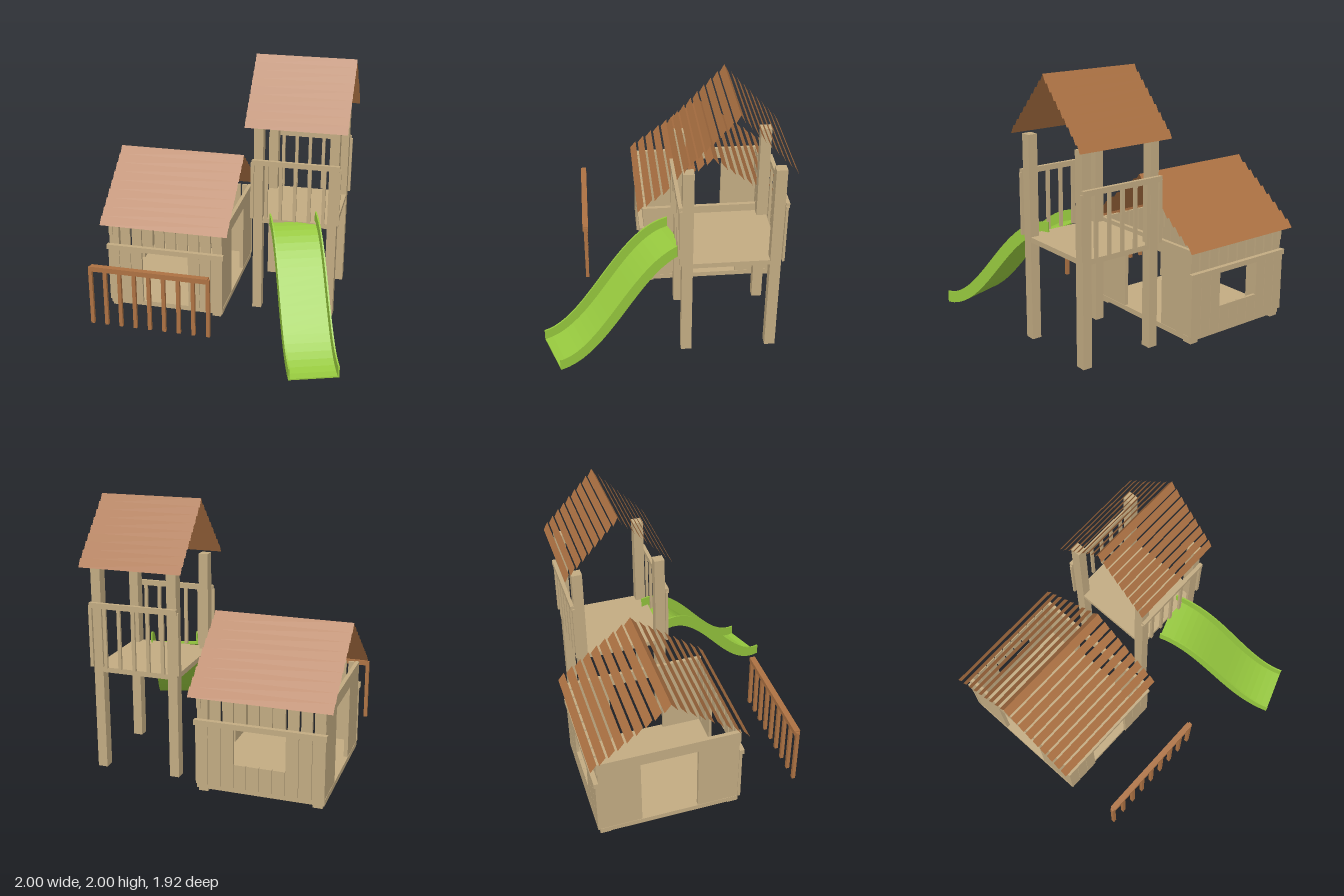
import * as THREE from 'three';

const tan = new THREE.MeshStandardMaterial({ color: 0xc2ab82 });
tan.name = 'pale timber';
const brown = new THREE.MeshStandardMaterial({ color: 0xad7243, side: THREE.DoubleSide });
brown.name = 'brown timber';
const green = new THREE.MeshStandardMaterial({ color: 0x96c83e });
green.name = 'green plastic';

// Box given by its min and max along each axis
function box(parent, name, mat, x0, x1, y0, y1, z0, z1) {
  const m = new THREE.Mesh(new THREE.BoxGeometry(Math.abs(x1 - x0), y1 - y0, Math.abs(z1 - z0)), mat);
  m.position.set((x0 + x1) / 2, (y0 + y1) / 2, (z0 + z1) / 2);
  m.name = name;
  parent.add(m);
  return m;
}

function group(parent, name) {
  const g = new THREE.Group();
  g.name = name;
  parent.add(g);
  return g;
}

// Pitched roof of thin slats, each slightly steeper than the slope
function roof(parent, name, x0, x1, ridgeZ, half, yTop, yBottom, slatZ, slatY) {
  const g = group(parent, name);
  const n = 9;
  for (const side of [1, -1]) {
    for (let i = 0; i < n; i++) {
      const t = i / (n - 1);
      const slat = new THREE.Mesh(new THREE.PlaneGeometry(x1 - x0, Math.hypot(slatZ, slatY)), brown);
      slat.position.set(
        (x0 + x1) / 2,
        yTop - slatY / 2 - t * (yTop - yBottom - slatY),
        ridgeZ + side * (slatZ / 2 + t * (half - slatZ))
      );
      slat.rotation.order = 'YXZ';
      slat.rotation.set(-Math.atan2(slatZ, slatY), side > 0 ? 0 : Math.PI, 0);
      slat.name = 'roofSlat';
      g.add(slat);
    }
  }
}

function buildHouse(parent) {
  const g = group(parent, 'playhouse');
  const cx = -0.4825, cz = -0.38;
  box(g, 'houseFloor', tan, -0.945, -0.02, 0.02, 0.06, cz - 0.535, cz + 0.535);

  for (const sx of [1, -1]) {
    // Side wall: two solid panels beside a wide opening, with a beam on top
    const xi = cx + sx * 0.43, xo = cx + sx * 0.46;
    for (const sz of [1, -1]) {
      box(g, 'sidePanel', tan, xi, xo, 0.06, 0.62, cz + sz * 0.217, cz + sz * 0.53);
      box(g, 'foot', tan, cx + sx * 0.38, cx + sx * 0.45, 0, 0.02, cz + sz * 0.455, cz + sz * 0.535);
    }
    box(g, 'sideBeam', tan, xi, xo, 0.62, 0.715, cz - 0.54, cz + 0.54);
  }

  // Front and back walls: boards, opening in the middle, rail across
  const pitch = 0.0935;
  for (const sz of [1, -1]) {
    for (let i = 0; i < 10; i++) {
      const x = -0.95 + pitch * (i + 0.5);
      box(g, 'upperBoard', tan, x - 0.039, x + 0.039, 0.5, 0.715, cz + sz * 0.51, cz + sz * 0.53);
      const open = i >= 3 && i <= 6;
      if (open && sz > 0) continue;
      box(g, 'lowerBoard', tan, x - 0.045, x + 0.045, 0.06, open ? 0.24 : 0.51, cz + sz * 0.53, cz + sz * 0.553);
    }
    box(g, 'wallRail', tan, -0.957, -0.008, 0.505, 0.545, cz + sz * 0.53, cz + sz * 0.565);
  }
  roof(g, 'houseRoof', -1, 0.027, -0.385, 0.585, 1.18, 0.715, 0.048, 0.062);
}

function buildTower(parent) {
  const g = group(parent, 'tower');
  const cx = 0.5, cz = -0.42;
  for (const sx of [1, -1]) {
    for (const sz of [1, -1]) {
      box(g, 'post', tan, cx + sx * 0.253, cx + sx * 0.325, 0, 1.535, cz + sz * 0.277, cz + sz * 0.356);
    }
  }
  box(g, 'platform', tan, 0.178, 0.822, 0.75, 0.788, cz - 0.353, cz + 0.353);
  // Front and back railings
  for (const sz of [1, -1]) {
    for (let i = 0; i < 7; i++) {
      const x = cx + (i - 3) * 0.111;
      box(g, 'baluster', tan, x - 0.013, x + 0.013, 0.79, 1.25, cz + sz * 0.357, cz + sz * 0.375);
    }
    box(g, 'handrail', tan, 0.165, 0.835, 1.235, 1.275, cz + sz * 0.357, cz + sz * 0.385);
  }
  roof(g, 'towerRoof', 0.112, 0.885, -0.427, 0.41, 2, 1.535, 0.033, 0.062);
}

function buildSlide(parent) {
  const g = group(parent, 'slide');
  const curve = new THREE.CubicBezierCurve(
    new THREE.Vector2(0, 0.785), new THREE.Vector2(0.37, 0.785),
    new THREE.Vector2(0.62, 0.035), new THREE.Vector2(1.01, 0.035)
  );
  const steps = 20;
  // Band that follows the curve between two normal offsets
  const band = (name, low, high, z0, z1) => {
    const lower = [], upper = [];
    for (let i = 0; i <= steps; i++) {
      const p = curve.getPoint(i / steps), t = curve.getTangent(i / steps);
      const n = new THREE.Vector2(-t.y, t.x);
      lower.push(p.clone().addScaledVector(n, low));
      upper.push(p.clone().addScaledVector(n, high));
    }
    const shape = new THREE.Shape([...lower, ...upper.reverse()]);
    const m = new THREE.Mesh(new THREE.ExtrudeGeometry(shape, { depth: z1 - z0, bevelEnabled: false }), green);
    m.position.z = z0;
    m.name = name;
    g.add(m);
  };
  band('slideBed', -0.01, 0, -0.171, 0.171);
  band('slideWall', -0.01, 0.08, -0.183, -0.171);
  band('slideWall', -0.01, 0.08, 0.171, 0.183);
  g.position.set(0.488, 0, -0.062);
  g.rotation.y = THREE.MathUtils.degToRad(-70.5);
}

function buildFence(parent) {
  const g = group(parent, 'fence');
  for (let i = 0; i < 9; i++) {
    const x = -0.925 + i * 0.1138;
    box(g, 'fenceSlat', brown, x - 0.014, x + 0.014, 0.09, 0.565, 0.602, 0.628);
  }
  box(g, 'fenceRail', brown, -0.923, -0.012, 0.537, 0.576, 0.592, 0.637);
}

export function createModel() {
  const model = new THREE.Group();
  model.name = 'playground';
  buildHouse(model);
  buildTower(model);
  buildSlide(model);
  buildFence(model);
  return model;
}
